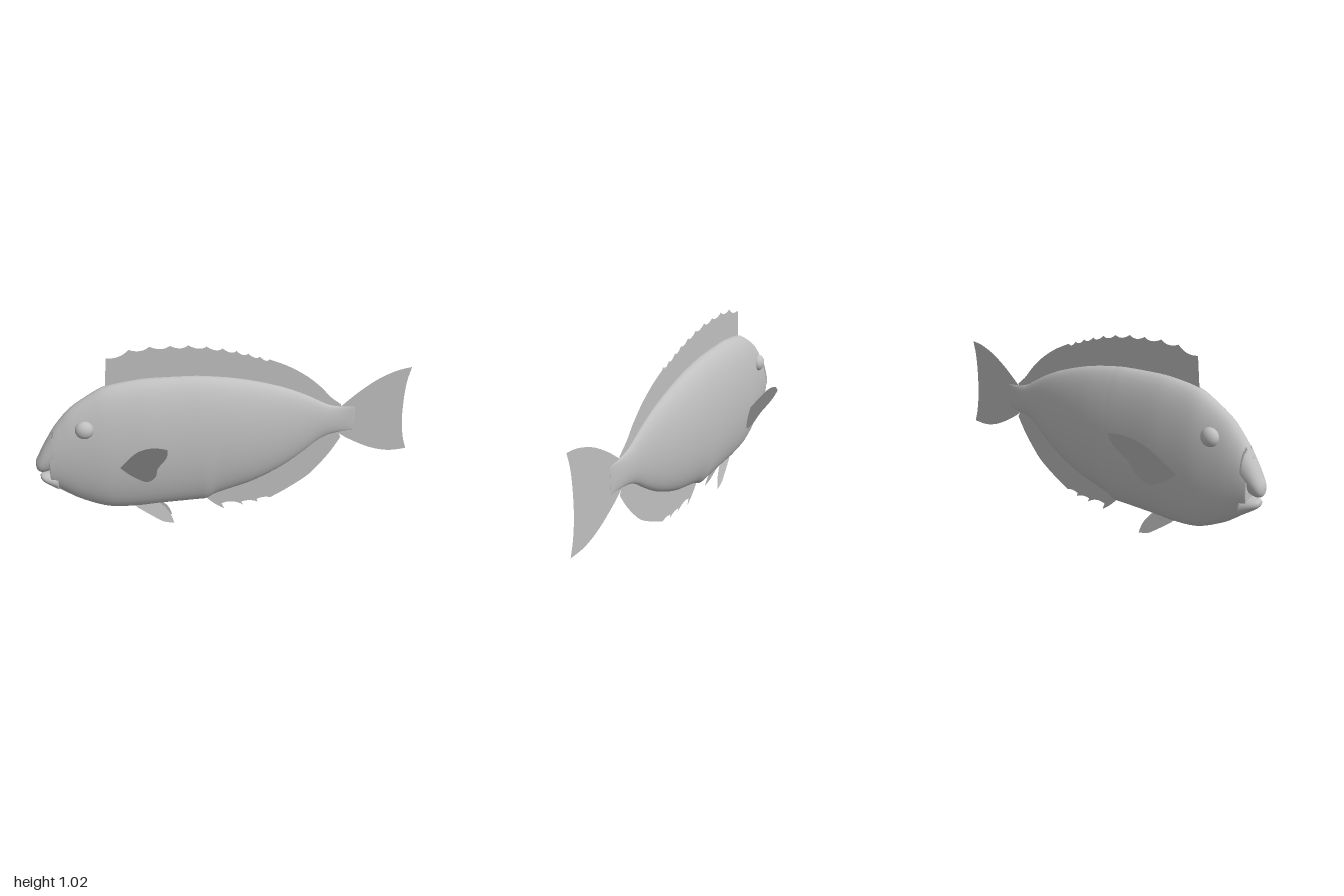
import * as THREE from 'three';

const grey = new THREE.MeshStandardMaterial({ color: 0xc0c0c0 });
grey.name = 'grey skin';
const finGrey = grey.clone();
finGrey.name = 'grey fin';
finGrey.side = THREE.DoubleSide;

// Closed skin over elliptical sections, each [x, top, bottom, halfWidth]
function loft(name, sections, steps, sides = 40) {
  const spline = (k) => new THREE.SplineCurve(sections.map((s) => new THREE.Vector2(s[0], s[k])));
  const [top, bottom, width] = [1, 2, 3].map(spline);
  const pos = [];
  const index = [];
  for (let i = 0; i <= steps; i++) {
    const t = i / steps;
    const a = top.getPoint(t), b = bottom.getPoint(t), w = width.getPoint(t).y;
    for (let j = 0; j < sides; j++) {
      const ang = (j / sides) * Math.PI * 2;
      pos.push(a.x, (a.y + b.y) / 2 + ((a.y - b.y) / 2) * Math.cos(ang), w * Math.sin(ang));
    }
  }
  for (let i = 0; i < steps; i++) {
    for (let j = 0; j < sides; j++) {
      const p = i * sides + j, q = i * sides + ((j + 1) % sides);
      index.push(p, q, p + sides, q, q + sides, p + sides);
    }
  }
  // End caps
  const first = sections[0], last = sections[sections.length - 1];
  const c = pos.length / 3;
  pos.push(first[0], (first[1] + first[2]) / 2, 0, last[0], (last[1] + last[2]) / 2, 0);
  for (let j = 0; j < sides; j++) {
    const k = (j + 1) % sides, e = steps * sides;
    index.push(c, k, j, c + 1, e + j, e + k);
  }
  const geo = new THREE.BufferGeometry();
  geo.setAttribute('position', new THREE.Float32BufferAttribute(pos, 3));
  geo.setIndex(index);
  geo.computeVertexNormals();
  const mesh = new THREE.Mesh(geo, grey);
  mesh.name = name;
  return mesh;
}

// Thin sheet from a shape, bent out of the middle plane by depth(x, y)
function fin(name, shape, depth = () => 0) {
  const geo = new THREE.ShapeGeometry(shape, 8);
  const p = geo.attributes.position;
  for (let i = 0; i < p.count; i++) p.setZ(i, depth(p.getX(i), p.getY(i)));
  geo.computeVertexNormals();
  const mesh = new THREE.Mesh(geo, finGrey);
  mesh.name = name;
  return mesh;
}

const vecs = (pts) => pts.map(([x, y]) => new THREE.Vector2(x, y));

export function createModel() {
  const fish = new THREE.Group();
  fish.name = 'fish';

  // Body: deep oval trunk narrowing to the tail root
  fish.add(loft('body', [
    [-0.935, 0.575, 0.31, 0.053], [-0.9, 0.63, 0.285, 0.062], [-0.86, 0.68, 0.253, 0.071],
    [-0.8, 0.74, 0.21, 0.083], [-0.7, 0.802, 0.158, 0.099], [-0.62, 0.838, 0.134, 0.107],
    [-0.5, 0.855, 0.123, 0.113], [-0.4, 0.859, 0.123, 0.115], [-0.2, 0.85, 0.117, 0.113],
    [-0.14, 0.843, 0.116, 0.112], [-0.09, 0.836, 0.14, 0.11], [0, 0.82, 0.163, 0.105],
    [0.1, 0.796, 0.187, 0.095], [0.2, 0.765, 0.225, 0.082], [0.3, 0.728, 0.275, 0.066],
    [0.4, 0.68, 0.342, 0.047], [0.47, 0.64, 0.395, 0.034], [0.53, 0.607, 0.424, 0.024],
    [0.6, 0.588, 0.435, 0.013], [0.68, 0.58, 0.44, 0.002],
  ], 76));

  // Snout and lower jaw with the mouth gap between them
  fish.add(loft('snout', [
    [-0.9, 0.628, 0.42, 0.06], [-0.95, 0.55, 0.398, 0.05], [-0.98, 0.495, 0.398, 0.039],
    [-0.995, 0.468, 0.41, 0.024], [-1, 0.45, 0.425, 0.008],
  ].reverse(), 16));
  fish.add(loft('lowerJaw', [
    [-0.9, 0.385, 0.286, 0.06], [-0.95, 0.385, 0.322, 0.045],
    [-0.975, 0.383, 0.343, 0.03], [-0.985, 0.375, 0.358, 0.012],
  ].reverse(), 12));

  // Dorsal fin: scalloped between the spines, smooth towards the tail
  const dorsal = new THREE.Shape();
  dorsal.moveTo(-0.625, 0.8);
  dorsal.lineTo(-0.625, 0.845);
  dorsal.lineTo(-0.61, 0.985);
  let last = [-0.61, 0.985];
  for (const s of [[-0.5, 1.018], [-0.4, 1.025], [-0.3, 1.02], [-0.21, 1.015], [-0.12, 1.0],
    [-0.04, 0.982], [0.03, 0.962], [0.09, 0.942], [0.15, 0.92], [0.2, 0.9]]) {
    dorsal.quadraticCurveTo((last[0] + s[0]) / 2 + 0.01, (last[1] + s[1]) / 2 - 0.03, ...s);
    last = s;
  }
  dorsal.splineThru(vecs([[0.3, 0.853], [0.4, 0.788], [0.48, 0.717], [0.54, 0.65], [0.6, 0.6]]));
  for (const p of [[0.6, 0.56], [0.5, 0.6], [0.35, 0.68], [0.2, 0.74], [0, 0.79], [-0.3, 0.82]]) dorsal.lineTo(...p);
  fish.add(fin('dorsalFin', dorsal));

  // Anal fin with hooked spines in front
  const anal = new THREE.Shape();
  anal.moveTo(-0.15, 0.13);
  anal.quadraticCurveTo(-0.1, 0.065, -0.037, 0.025);
  anal.lineTo(-0.05, 0.06);
  anal.quadraticCurveTo(0.01, 0.08, 0.072, 0.033);
  anal.lineTo(0.06, 0.055);
  anal.quadraticCurveTo(0.11, 0.067, 0.155, 0.04);
  anal.lineTo(0.147, 0.06);
  anal.quadraticCurveTo(0.19, 0.075, 0.225, 0.06);
  anal.splineThru(vecs([[0.315, 0.105], [0.43, 0.175], [0.5, 0.245], [0.56, 0.32], [0.61, 0.4]]));
  for (const p of [[0.58, 0.46], [0.47, 0.42], [0.3, 0.31], [0.1, 0.23], [-0.08, 0.18]]) anal.lineTo(...p);
  fish.add(fin('analFin', anal));

  // Tail fin
  const tail = new THREE.Shape();
  tail.moveTo(0.58, 0.57);
  tail.splineThru(vecs([[0.61, 0.597], [0.7, 0.668], [0.8, 0.73], [0.9, 0.768], [0.98, 0.78]]));
  tail.splineThru(vecs([[0.962, 0.7], [0.955, 0.6], [0.958, 0.47], [0.975, 0.36], [1, 0.28]]));
  tail.splineThru(vecs([[0.9, 0.28], [0.8, 0.307], [0.7, 0.357], [0.61, 0.415], [0.58, 0.45]]));
  fish.add(fin('tailFin', tail));

  // Paired fins and eyes
  const pectoral = new THREE.Shape();
  pectoral.moveTo(-0.59, 0.43);
  pectoral.splineThru(vecs([[-0.525, 0.565], [-0.48, 0.62], [-0.43, 0.65], [-0.378, 0.655]]));
  pectoral.splineThru(vecs([[-0.38, 0.59], [-0.415, 0.49], [-0.425, 0.41], [-0.46, 0.355],
    [-0.5, 0.36], [-0.55, 0.39], [-0.59, 0.43]]));
  const pelvic = new THREE.Shape();
  pelvic.moveTo(-0.53, 0.14);
  pelvic.lineTo(-0.51, 0.115);
  pelvic.splineThru(vecs([[-0.42, 0.045], [-0.375, 0.015], [-0.32, 0]]));
  pelvic.splineThru(vecs([[-0.335, 0.05], [-0.36, 0.092], [-0.4, 0.14]]));
  for (const [side, s] of [['front', 1], ['back', -1]]) {
    fish.add(fin(side + 'PectoralFin', pectoral, (x, y) => s * (0.11 + 0.618 * (x + 0.59) + 0.521 * (y - 0.43))));
    fish.add(fin(side + 'PelvicFin', pelvic, (x, y) => s * (0.041 - 0.18 * y)));
    const eye = new THREE.Mesh(new THREE.SphereGeometry(0.046, 24, 16), grey);
    eye.name = side + 'Eye';
    eye.scale.z = 0.75;
    eye.position.set(-0.745, 0.648, s * 0.076);
    fish.add(eye);
  }
  return fish;
}
